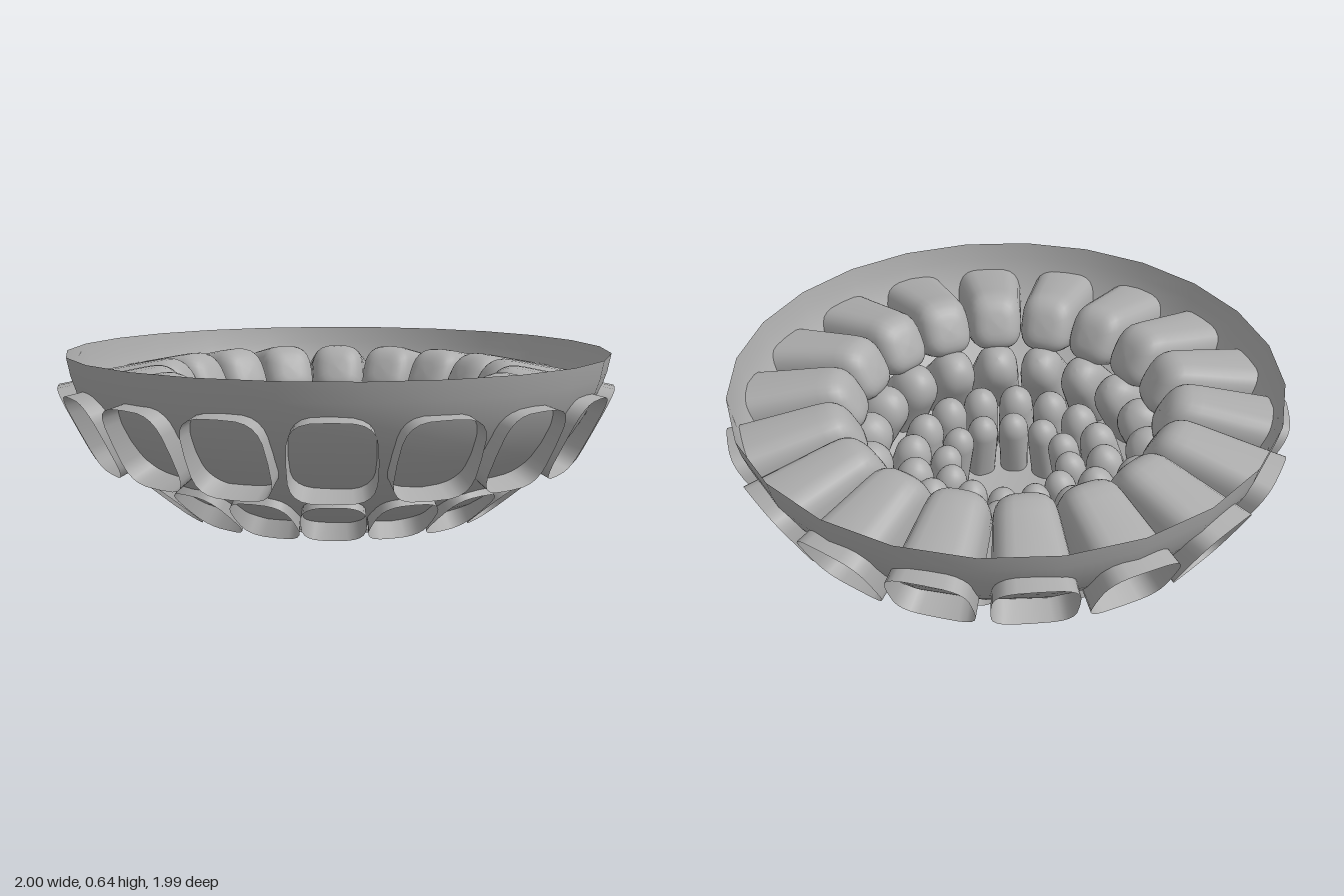
import * as THREE from 'three';

const grey = new THREE.MeshStandardMaterial({ color: 0xacacac, side: THREE.DoubleSide });
grey.name = 'grey';

// Each row of pods: outer mouth centre and inner tip as [radius, y], tilt of the axis in degrees,
// half width and half height at the mouth and near the tip, dome share of the length,
// roundness of the cross-section at mouth and tip (1 = ellipse) and of the dome
const ROWS = [
  { name: 'rimPod', count: 18, mouth: [0.93, 0.39], tip: [0.545, 0.505], tilt: 27, w: [0.137, 0.1], h: [0.152, 0.11], dome: 0.24, round: [0.55, 0.7], domeRound: 0.65 },
  { name: 'upperPod', count: 18, mouth: [0.652, 0.14], tip: [0.465, 0.395], tilt: 50, w: [0.106, 0.074], h: [0.12, 0.08], dome: 0.3, round: [0.65, 0.9], domeRound: 0.9 },
  { name: 'lowerPod', count: 16, mouth: [0.405, 0.052], tip: [0.34, 0.325], tilt: 72, w: [0.075, 0.063], h: [0.088, 0.063], dome: 0.28, round: [0.7, 1], domeRound: 1 },
  { name: 'floorPod', count: 12, mouth: [0.27, 0.03], tip: [0.22, 0.285], tilt: 79, w: [0.055, 0.058], h: [0.06, 0.058], dome: 0.28, round: [0.75, 1], domeRound: 1 },
];

// Pod: tapered tube with rounded cross-section, open outwards and domed inwards
function podGeometry({ mouth, tip, tilt, w, h, dome, round, domeRound }) {
  const SIDES = 24, pos = [], index = [];
  const a = THREE.MathUtils.degToRad(tilt);
  const lerp = THREE.MathUtils.lerp;
  const power = (v, e) => Math.sign(v) * Math.pow(Math.abs(v), e);
  const stations = [[0, 1], [(1 - dome) / 2, 1], [1 - dome, 1]];
  for (let i = 1; i <= 7; i++) {
    const q = (i / 7) * Math.PI / 2;
    stations.push([1 - dome + dome * power(Math.sin(q), domeRound), i < 7 ? power(Math.cos(q), domeRound) : 0.001]);
  }
  stations.forEach(([s, k], j) => {
    const r = lerp(mouth[0], tip[0], s), y = lerp(mouth[1], tip[1], s);
    const e = lerp(round[0], round[1], s);
    for (let i = 0; i < SIDES; i++) {
      const p = (i / SIDES) * Math.PI * 2;
      const z = power(Math.cos(p), e) * lerp(w[0], w[1], s) * k;
      const u = power(Math.sin(p), e) * lerp(h[0], h[1], s) * k;
      pos.push(r + u * Math.sin(a), y + u * Math.cos(a), z);
      if (j < stations.length - 1) {
        const b = j * SIDES + i, c = j * SIDES + (i + 1) % SIDES;
        index.push(b, c, b + SIDES, c, c + SIDES, b + SIDES);
      }
    }
  });
  const geo = new THREE.BufferGeometry();
  geo.setAttribute('position', new THREE.Float32BufferAttribute(pos, 3));
  geo.setIndex(index);
  geo.computeVertexNormals();
  return geo;
}

export function createModel() {
  const model = new THREE.Group();
  model.name = 'podBowl';

  // Thin open bowl, the lower part of a flattened sphere
  const profile = [];
  for (let i = 0; i <= 16; i++) {
    const q = (i / 16) * 1.48;
    profile.push(new THREE.Vector2(0.982 * Math.sin(q), 0.705 - 0.7 * Math.cos(q)));
  }
  const bowl = new THREE.Mesh(new THREE.LatheGeometry(profile, 24), grey);
  bowl.name = 'bowl';
  bowl.position.x = 0.007;
  model.add(bowl);

  // Rings of pods pushed through the bowl wall
  for (const row of ROWS) {
    const ring = new THREE.Group();
    ring.name = row.name + 'Ring';
    const geo = podGeometry(row);
    for (let i = 0; i < row.count; i++) {
      const pod = new THREE.Mesh(geo, grey);
      pod.name = row.name;
      pod.rotation.y = (i / row.count) * Math.PI * 2;
      ring.add(pod);
    }
    model.add(ring);
  }
  return model;
}
